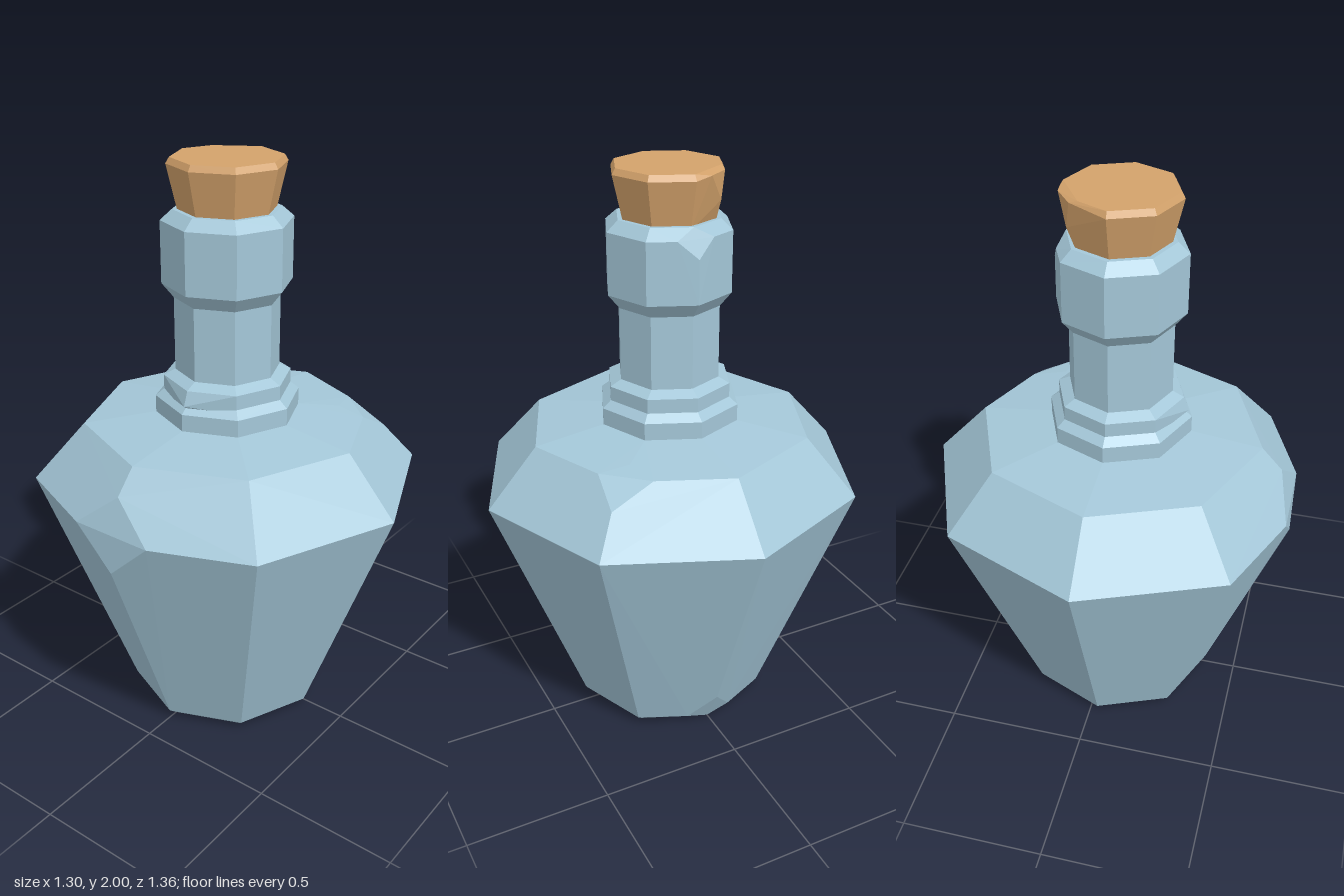
import * as THREE from 'three';
import { ConvexGeometry } from 'three/addons/geometries/ConvexGeometry.js';

const CX = -0.03; // axis of the bottle
const V = (x, y, z) => new THREE.Vector3(x, y, z);

// Octagonal ring of points; corners listed in skip are left out (0 = +x, 1 = front +x, 4 = -x, 7 = back +x)
function ring(r, y, skip = []) {
  const pts = [];
  for (let i = 0; i < 8; i++) {
    if (skip.includes(i)) continue;
    const a = (i * Math.PI) / 4;
    pts.push(V(CX + r * Math.cos(a), y, r * Math.sin(a)));
  }
  return pts;
}

export function createModel() {
  const group = new THREE.Group();
  const glass = new THREE.MeshStandardMaterial({ color: 0xa4c7d8 });
  glass.name = 'blueGlass';
  const corkMat = new THREE.MeshStandardMaterial({ color: 0xd3a26b });
  corkMat.name = 'cork';

  // Every part is a faceted convex block, with chipped corners swapped for cut points
  const add = (name, material, ...points) => {
    const mesh = new THREE.Mesh(new ConvexGeometry(points.flat()), material);
    mesh.name = name;
    group.add(mesh);
  };

  add('body', glass,
    ring(0.32, 0), ring(0.355, 0.03, [0]), ring(0.68, 0.9, [4]), ring(0.5, 1.1, [1]), ring(0.25, 1.13),
    // chip at the base
    [V(0.365, 0.14, 0), V(0.295, 0.03, 0.085), V(0.295, 0.03, -0.085)],
    // chip on the widest corner
    [V(-0.603, 1.02, 0), V(-0.653, 0.76, 0), V(-0.647, 0.9, 0.15), V(-0.647, 0.9, -0.15)],
    // chip on the shoulder
    [V(0.24, 1.1, 0.388), V(0.366, 1.1, 0.25), V(0.37, 1.027, 0.4), V(0.25, 1.112, 0.28)]);

  add('lowerCollar', glass, ring(0.25, 1.12), ring(0.25, 1.19), ring(0.22, 1.215));
  add('upperCollar', glass, ring(0.22, 1.2), ring(0.22, 1.265), ring(0.18, 1.285), [V(-0.268, 1.215, 0)]);
  add('neck', glass, ring(0.18, 1.27), ring(0.18, 1.56));

  add('lip', glass,
    ring(0.18, 1.54), ring(0.22, 1.59), ring(0.22, 1.8, [0]), ring(0.18, 1.835),
    // chip on the rim
    [V(0.19, 1.74, 0), V(0.165, 1.8, 0.065), V(0.165, 1.8, -0.065)]);

  add('stopper', corkMat,
    ring(0.16, 1.82), ring(0.197, 1.98, [7]), ring(0.185, 2, [7]),
    // chipped back corner
    [V(0.1, 1.99, -0.135), V(0.155, 1.99, -0.06), V(0.07, 2, -0.14), V(0.115, 1.9, -0.115)]);

  return group;
}
